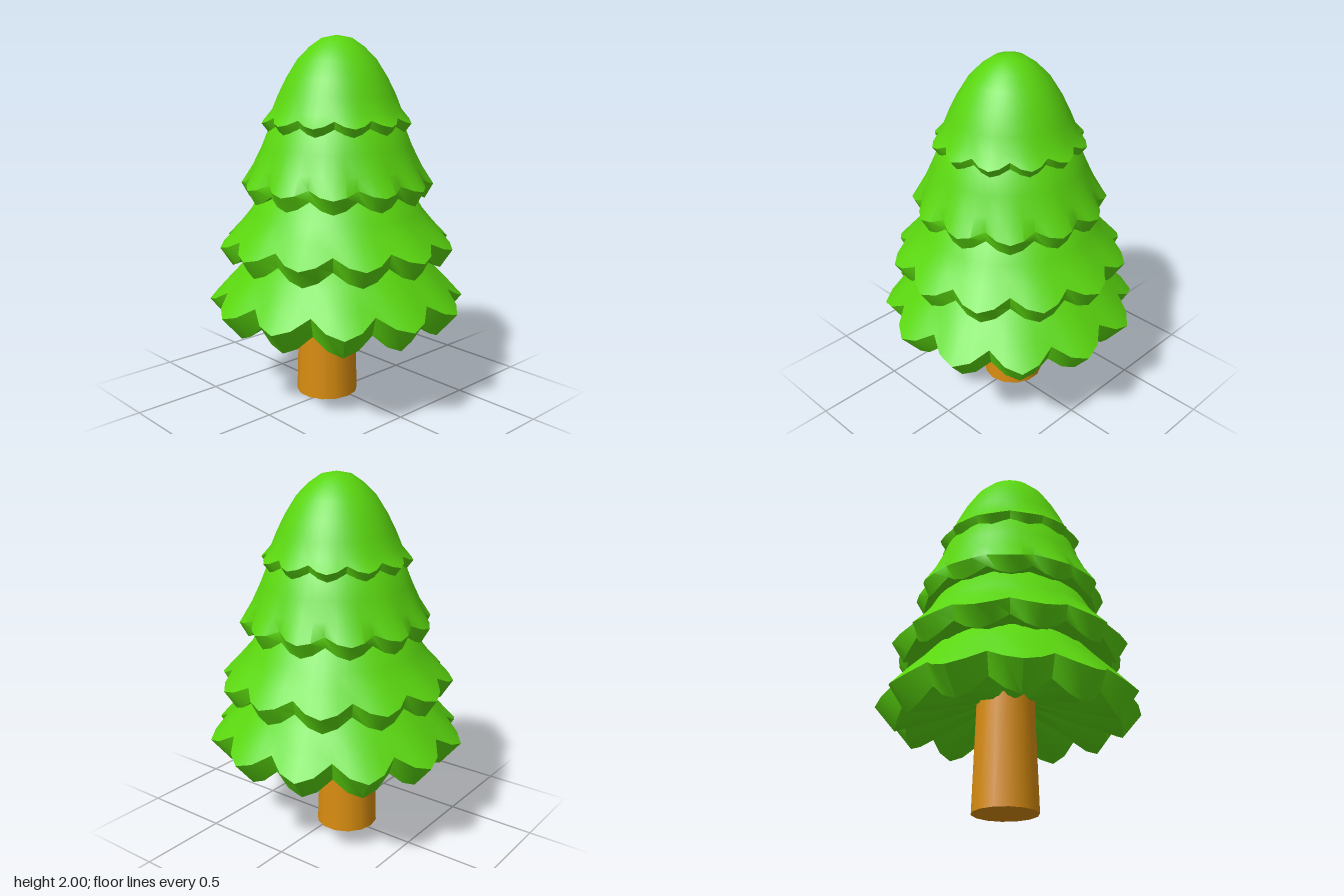
import * as THREE from 'three';
import { toCreasedNormals } from 'three/addons/utils/BufferGeometryUtils.js';

const LOBES = 12;
const STEPS = 4; // segments per lobe

// One skirt of foliage: rows run from top to underside.
// Each row is [r, y] or [lobeR, lobeY, notchR, notchY] for a scalloped ring.
function tierGeometry(rows, centreDeg) {
  const n = LOBES * STEPS;
  const point = (row, j) => {
    const t = Math.abs(((j % STEPS) / STEPS) * 2 - 1); // 0 at lobe centre, 1 at notch
    const f = Math.pow(t, 1.6);
    const [r0, y0, r1 = r0, y1 = y0] = row;
    const r = r0 + (r1 - r0) * f;
    const y = y0 + (y1 - y0) * f;
    const a = THREE.MathUtils.degToRad(centreDeg - 180 / LOBES) + ((j % n) / n) * Math.PI * 2;
    return [r * Math.cos(a), y, r * Math.sin(a)];
  };
  const pos = [];
  for (let i = 0; i < rows.length - 1; i++) {
    for (let j = 0; j < n; j++) {
      const a = point(rows[i], j), b = point(rows[i], j + 1);
      const c = point(rows[i + 1], j), d = point(rows[i + 1], j + 1);
      if (rows[i][0] > 0) pos.push(...a, ...b, ...c);
      if (rows[i + 1][0] > 0) pos.push(...b, ...d, ...c);
    }
  }
  const g = new THREE.BufferGeometry();
  g.setAttribute('position', new THREE.Float32BufferAttribute(pos, 3));
  return toCreasedNormals(g, 0.8);
}

export function createModel() {
  const tree = new THREE.Group();
  tree.name = 'tree';

  const leaf = new THREE.MeshStandardMaterial({ color: 0x5ad60f, side: THREE.DoubleSide });
  leaf.name = 'leaf green';
  const bark = new THREE.MeshStandardMaterial({ color: 0xd98d10 });
  bark.name = 'bark brown';

  // Trunk, slightly tapered and off centre
  const trunk = new THREE.Mesh(new THREE.CylinderGeometry(0.152, 0.173, 0.66, 14), bark);
  trunk.name = 'trunk';
  trunk.position.set(-0.025, 0.33, -0.057);
  tree.add(trunk);

  // Foliage skirts, bottom to top
  const tiers = [
    ['bottomFoliage', 10, [
      [0.3, 0.95], [0.43, 0.86], [0.51, 0.77], [0.61, 0.67, 0.565, 0.7],
      [0.71, 0.56, 0.62, 0.64], [0.6, 0.43, 0.575, 0.53],
      [0.36, 0.5, 0.34, 0.59], [0.1, 0.6],
    ]],
    ['lowerMiddleFoliage', 0, [
      [0.32, 1.25], [0.42, 1.16], [0.47, 1.07], [0.55, 0.98, 0.52, 1.0],
      [0.645, 0.88, 0.575, 0.94], [0.58, 0.78, 0.555, 0.86],
      [0.3, 0.9],
    ]],
    ['upperMiddleFoliage', 15, [
      [0.3, 1.6], [0.365, 1.52], [0.405, 1.42], [0.46, 1.31, 0.445, 1.32],
      [0.525, 1.21, 0.475, 1.25], [0.48, 1.13, 0.46, 1.19],
      [0.28, 1.22],
    ]],
    ['topFoliage', 0, [
      [0, 2], [0.08, 1.985], [0.145, 1.94], [0.21, 1.875], [0.27, 1.78],
      [0.315, 1.69], [0.35, 1.61, 0.345, 1.615],
      [0.408, 1.545, 0.368, 1.58], [0.37, 1.495, 0.352, 1.54],
      [0.25, 1.56],
    ]],
  ];
  for (const [name, centreDeg, rows] of tiers) {
    const mesh = new THREE.Mesh(tierGeometry(rows, centreDeg), leaf);
    mesh.name = name;
    tree.add(mesh);
  }
  return tree;
}
